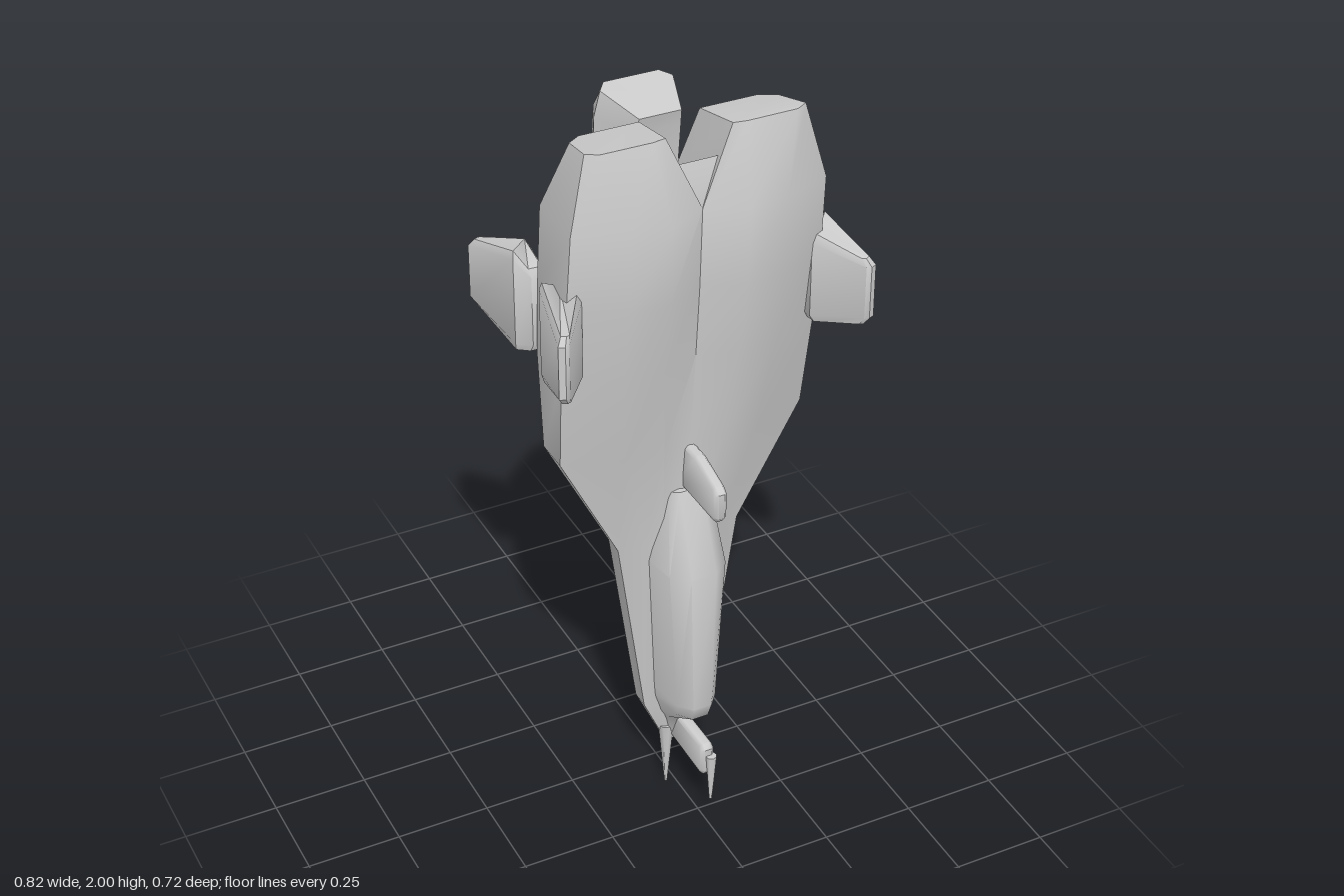
import * as THREE from 'three';
import { mergeGeometries, toCreasedNormals } from 'three/addons/utils/BufferGeometryUtils.js';

const material = new THREE.MeshStandardMaterial({ color: 0xcccccc });

// Skin over rings stacked upwards; each ring runs front -> +x -> back, as [x, y, z]
function loft(rings) {
  const n = rings[0].length, pos = rings.flat(2), idx = [];
  for (let r = 0; r < rings.length - 1; r++) {
    for (let i = 0; i < n; i++) {
      const a = r * n + i, b = r * n + (i + 1) % n;
      idx.push(a, b, b + n, a, b + n, a + n);
    }
  }
  const top = (rings.length - 1) * n;
  for (let i = 1; i < n - 1; i++) idx.push(0, i + 1, i, top, top + i, top + i + 1);
  const g = new THREE.BufferGeometry();
  g.setAttribute('position', new THREE.Float32BufferAttribute(pos, 3));
  g.setIndex(idx);
  return g.toNonIndexed();
}

const flipX = (ring) => ring.map(([x, y, z]) => [-x, y, z]).reverse();
const level = (y, pts) => pts.map(([x, z, dy = 0]) => [x, y + dy, z]);
// Symmetric ring from its +x half
const sym = (y, pts) => { const h = level(y, pts); return [...h, ...flipX(h)]; };

export function createModel() {
  const model = new THREE.Group();
  const add = (name, geometry, crease = 0.55) => {
    const mesh = new THREE.Mesh(toCreasedNormals(geometry.index ? geometry.toNonIndexed() : geometry, crease), material);
    mesh.name = name;
    model.add(mesh);
  };

  // Hull: one half with its outer engine, mirrored
  const half = [
    level(0.15, [[0, 0.12], [0.01, 0.12], [0.02, 0.115], [0.03, 0.11], [0.03, 0.085], [0.015, 0.078], [0, 0.075]]),
    level(0.29, [[0, 0.15], [0.04, 0.14], [0.07, 0.13], [0.092, 0.118], [0.092, 0.068], [0.05, 0.055], [0, 0.045]]),
    level(0.82, [[0, 0.18], [0.06, 0.165], [0.1, 0.145], [0.167, 0.125], [0.167, 0.07], [0.09, 0], [0, -0.035]]),
    level(1.14, [[0, 0.19], [0.08, 0.207], [0.18, 0.195], [0.328, 0.145], [0.328, 0.05], [0.2, -0.04], [0, -0.08]]),
    level(1.4, [[0, 0.213], [0.1, 0.248], [0.2, 0.24], [0.336, 0.18], [0.336, 0.045], [0.285, -0.06], [0, -0.066]]),
    level(1.6, [[0, 0.23], [0.1, 0.278], [0.2, 0.27], [0.333, 0.21], [0.333, 0.05], [0.285, -0.045], [0.02, -0.05]]),
    level(1.81, [[0, 0.24], [0.1, 0.287], [0.2, 0.28], [0.328, 0.23], [0.326, 0.06], [0.26, 0.015], [0.05, 0.015]]),
    level(2, [[0.085, 0.22], [0.12, 0.226], [0.25, 0.225], [0.28, 0.207], [0.267, 0.1, -0.025], [0.23, 0.07, -0.03], [0.078, 0.07, -0.03]]),
  ];
  add('hull', mergeGeometries([loft(half), loft(half.map(flipX))]), 0.65);

  // Sloping floor between the outer engines
  add('engineBridge', loft([
    sym(1.55, [[0.06, 0.2], [0.07, 0.02]]),
    sym(1.81, [[0.05, 0.238], [0.08, 0.02, -0.08]]),
    sym(1.92, [[0.075, 0.21], [0.055, 0.02, -0.15]]),
  ]));

  // Rear centre engine
  add('centreEngine', loft([
    sym(1.3, [[0.06, 0.02], [0.1, -0.08], [0.07, -0.16]]),
    sym(1.65, [[0.06, -0.02], [0.113, -0.1], [0.09, -0.185]]),
    sym(1.91, [[0.058, 0.015], [0.112, -0.1], [0.085, -0.16]]),
    sym(1.96, [[0.055, 0.025, -0.01], [0.095, -0.1, 0.015], [0.072, -0.13, 0.02]]),
  ]), 0.4);

  // Broad spine swelling out of the back
  add('spine', loft([
    sym(0.8, [[0.08, 0.04], [0.06, 0], [0.012, -0.03]]),
    sym(1.03, [[0.14, -0.01], [0.08, -0.08], [0.02, -0.13]]),
    sym(1.4, [[0.16, -0.055], [0.105, -0.17], [0.022, -0.277]]),
    sym(1.64, [[0.135, -0.045], [0.095, -0.19], [0.015, -0.256]]),
    sym(1.73, [[0.105, -0.06], [0.085, -0.18], [0.012, -0.2]]),
  ]), 0.7);

  // Four slanted fins with bevelled ends: [x, z, low y, high y]
  const fin = [
    [0.3, 0.225, 1.415, 1.655], [0.384, 0.338, 1.445, 1.625], [0.396, 0.342, 1.445, 1.625], [0.411, 0.335, 1.445, 1.625],
    [0.374, 0.153, 1.4, 1.67], [0.342, 0.122, 1.405, 1.63], [0.3, 0.12, 1.405, 1.63],
  ];
  const inset = (p) => [p[0] + (0.355 - p[0]) * 0.22, p[1] + (0.22 - p[1]) * 0.1];
  for (const rear of [false, true]) {
    let rings = [
      fin.map((p) => [inset(p)[0], p[2], inset(p)[1]]),
      fin.map((p) => [p[0], p[2] + 0.02, p[1]]),
      fin.map((p) => [p[0], p[3] - 0.02, p[1]]),
      fin.map((p) => [inset(p)[0], p[3], inset(p)[1]]),
    ];
    if (rear) rings = rings.map((r) => r.map(([x, y, z]) => [x, y, 0.16 - z]).reverse());
    const name = rear ? 'rearFin' : 'frontFin';
    add(name + 'Left', loft(rings), 0.6);
    add(name + 'Right', loft(rings.map(flipX)), 0.6);
  }

  // Canopy along the front of the nose
  add('canopy', loft([
    sym(0.18, [[0.008, 0.135], [0.02, 0.125], [0.025, 0.09]]),
    sym(0.25, [[0.015, 0.16], [0.035, 0.145], [0.05, 0.1]]),
    sym(0.32, [[0.022, 0.258], [0.05, 0.22], [0.07, 0.11]]),
    sym(0.36, [[0.026, 0.27], [0.055, 0.235], [0.074, 0.11]]),
    sym(0.78, [[0.035, 0.27], [0.078, 0.235], [0.096, 0.12]]),
    sym(1.0, [[0.03, 0.195], [0.055, 0.18], [0.065, 0.12]]),
  ]), 0.9);

  // Pod on the back with a ridged slat
  add('pod', loft([
    sym(1.02, [[0.06, -0.12, 0.02], [0.09, -0.15, 0.01], [0.09, -0.26], [0.06, -0.28]]),
    sym(1.09, [[0.08, -0.11], [0.12, -0.14], [0.12, -0.28], [0.065, -0.284]]),
    sym(1.33, [[0.08, -0.13], [0.12, -0.16], [0.12, -0.28], [0.065, -0.284]]),
    sym(1.4, [[0.06, -0.14], [0.1, -0.16], [0.11, -0.27], [0.06, -0.28]]),
  ]), 0.3);
  add('podSlat', loft([
    sym(1.0, [[0.05, -0.27, 0.07], [0.033, -0.315, 0.01], [0.03, -0.33], [0.006, -0.34, -0.01]]),
    sym(1.15, [[0.062, -0.27], [0.036, -0.325], [0.034, -0.342], [0.006, -0.353]]),
    sym(1.31, [[0.062, -0.27], [0.036, -0.33], [0.034, -0.346], [0.006, -0.359]]),
    sym(1.38, [[0.05, -0.26, 0.015], [0.033, -0.3], [0.03, -0.31, -0.005], [0.006, -0.325, -0.02]]),
  ]), 0.4);

  // Thin blades cut from a side outline of [z, y]
  const blade = (name, width, x, outline) => {
    const b = 0.008;
    const g = new THREE.ExtrudeGeometry(new THREE.Shape(outline.map((p) => new THREE.Vector2(...p))),
      { depth: width - 2 * b, bevelSize: b, bevelThickness: b, bevelOffset: -b, bevelSegments: 1 });
    add(name, g.translate(0, 0, b - width / 2).rotateY(-Math.PI / 2).translate(x, 0, 0), 0.8);
  };
  blade('frontAntenna', 0.032, 0, [[0.15, 1.0], [0.345, 1.0], [0.357, 1.015], [0.357, 1.085], [0.34, 1.1], [0.24, 1.13], [0.15, 1.13]]);
  blade('rearAntenna', 0.032, 0, [[0.02, 0.73], [-0.16, 0.735], [-0.18, 0.75], [-0.18, 0.81], [-0.165, 0.825], [-0.06, 0.84], [0.02, 0.84]]);
  blade('keelStrip', 0.03, 0, [[0.037, 0.18], [0, 0.18], [-0.013, 0.2], [-0.016, 0.55], [0, 0.575], [0.03, 0.59]]);
  blade('probeArm', 0.036, 0.003, [[0.1, 0.16], [0.29, 0.155], [0.3, 0.17], [0.3, 0.24], [0.285, 0.252], [0.1, 0.25]]);

  // Needles pointing down from the nose
  const needle = (name, x, z, tip, top, r) => {
    const g = new THREE.CylinderGeometry(r, 0.004, top - tip, 8);
    add(name, g.translate(x, (top + tip) / 2, z), 0.9);
  };
  needle('noseNeedle', -0.025, 0.11, 0, 0.2, 0.022);
  needle('probeNeedle', 0.01, 0.302, 0.075, 0.22, 0.015);

  return model;
}
